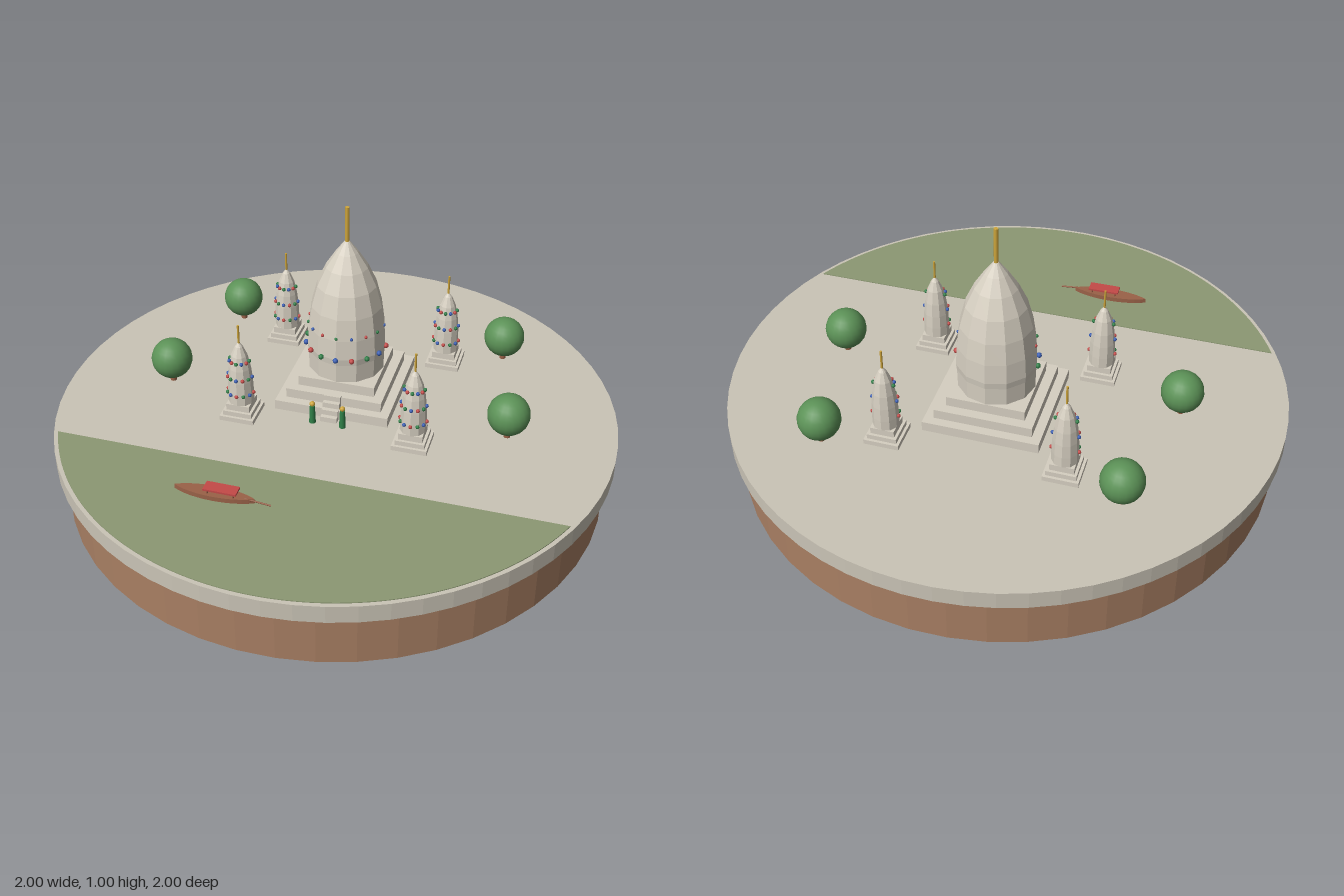
import * as THREE from 'three';

const mat = (name, color, extra = {}) => {
  const m = new THREE.MeshStandardMaterial({ color, ...extra });
  m.name = name;
  return m;
};

export function createModel() {
  const model = new THREE.Group();
  model.name = 'templeIsland';
  const ground = mat('paleGround', 0xcac4b6, { flatShading: true });
  const earth = mat('brownEarth', 0xa87f63, { flatShading: true });
  const stone = mat('templeStone', 0xd6cfc1, { flatShading: true });
  const water = mat('greenWater', 0x8c9873);
  const leaf = mat('treeGreen', 0x5c9257);
  const red = mat('red', 0xc44a48);
  const gold = mat('gold', 0xcfa63c);
  const blue = mat('blue', 0x3a5fb5);
  const green = mat('green', 0x2f8048);
  const wood = mat('boatWood', 0x9a6248);

  const add = (parent, name, geo, material, x = 0, y = 0, z = 0) => {
    const m = new THREE.Mesh(geo, material);
    m.name = name;
    m.position.set(x, y, z);
    parent.add(m);
    return m;
  };
  const group = (parent, name, x = 0, y = 0, z = 0) => {
    const g = new THREE.Group();
    g.name = name;
    g.position.set(x, y, z);
    parent.add(g);
    return g;
  };
  const TOP = 0.265;
  const TURN = -0.349;

  // Round island base
  add(model, 'earthBase', new THREE.CylinderGeometry(0.97, 0.97, 0.2, 48), earth, 0, 0.1, 0);
  add(model, 'groundSlab', new THREE.CylinderGeometry(1, 1, 0.065, 64), ground, 0, 0.2325, 0);

  // River: a thin circle segment
  const R = 0.985;
  const a = Math.asin(0.412 / R);
  const riverShape = new THREE.Shape();
  riverShape.absarc(0, 0, R, -Math.PI + a, -a, false);
  riverShape.closePath();
  const riverGeo = new THREE.ExtrudeGeometry(riverShape, { depth: 0.003, bevelEnabled: false, curveSegments: 48 });
  riverGeo.rotateX(-Math.PI / 2);
  add(model, 'river', riverGeo, water, 0, TOP, 0).rotation.y = TURN;

  // Square plinth steps: list of [side, bottom, top]
  const plinth = (parent, tiers) => tiers.forEach(([side, y0, y1]) =>
    add(parent, 'plinthStep', new THREE.BoxGeometry(side, y1 - y0, side), stone, 0, (y0 + y1) / 2, 0));

  // Faceted tower from a [radius, height] profile
  const tower = (parent, profile, sides) =>
    add(parent, 'tower', new THREE.LatheGeometry(profile.map(p => new THREE.Vector2(...p)), sides), stone);

  // Half ring of coloured beads around the front
  const beadColors = [red, blue, green];
  const beads = (parent, count, ring, y, r, shift = 0) => {
    const geo = new THREE.SphereGeometry(r, 8, 6);
    for (let i = 0; i < count; i++) {
      const t = (Math.PI * i) / (count - 1);
      add(parent, 'bead', geo, beadColors[(i + shift) % 3], ring * Math.cos(t), y, ring * Math.sin(t));
    }
  };

  // Temple precinct, with heights measured from the slab top
  const temple = group(model, 'temple', 0.047, TOP, -0.133);
  temple.rotation.y = TURN;
  plinth(temple, [[0.415, 0, 0.037], [0.35, 0.037, 0.073], [0.28, 0.073, 0.11]]);
  tower(temple, [[0.138, 0.11], [0.14, 0.18], [0.143, 0.205], [0.139, 0.28], [0.128, 0.36],
    [0.107, 0.44], [0.075, 0.51], [0.04, 0.565], [0.01, 0.605], [0, 0.608]], 12);
  add(temple, 'spire', new THREE.CylinderGeometry(0.008, 0.008, 0.14, 8), gold, 0, 0.665, 0);
  beads(temple, 9, 0.146, 0.205, 0.01);
  beads(temple, 9, 0.137, 0.29, 0.006, 1);

  // Front stairs
  for (let i = 0; i < 4; i++) {
    const h = 0.08 - i * 0.02;
    add(temple, 'stair', new THREE.BoxGeometry(0.06, h, 0.016), stone, 0, h / 2, 0.18 + i * 0.016);
  }

  // Two guardians beside the stairs
  for (const s of [-1, 1]) {
    const g = group(temple, 'guardian', s * 0.055, 0, 0.247);
    add(g, 'body', new THREE.CylinderGeometry(0.009, 0.012, 0.07, 10), green, 0, 0.035, 0);
    add(g, 'head', new THREE.SphereGeometry(0.01, 10, 8), gold, 0, 0.078, 0);
  }

  // Four small corner shrines
  for (const sx of [-1, 1]) for (const sz of [-1, 1]) {
    const s = group(temple, 'shrine', sx * 0.313, 0, sz * 0.265);
    plinth(s, [[0.125, 0, 0.018], [0.105, 0.018, 0.036], [0.085, 0.036, 0.06]]);
    tower(s, [[0.046, 0.06], [0.046, 0.1], [0.044, 0.15], [0.039, 0.2], [0.029, 0.25],
      [0.014, 0.285], [0, 0.303]], 10);
    add(s, 'spire', new THREE.CylinderGeometry(0.004, 0.004, 0.07, 6), gold, 0, 0.333, 0);
    [[0.047, 0.1], [0.044, 0.165], [0.036, 0.23]].forEach(([ring, y], i) => beads(s, 7, ring, y, 0.007, i));
  }

  // Round trees
  for (const [x, z] of [[-0.325, -0.64], [0.655, -0.283], [-0.59, -0.22], [0.583, 0.21]]) {
    const t = group(model, 'tree', x, TOP, z);
    add(t, 'trunk', new THREE.CylinderGeometry(0.012, 0.012, 0.06, 8), wood, 0, 0.03, 0);
    add(t, 'crown', new THREE.SphereGeometry(0.075, 20, 14), leaf, 0, 0.095, 0);
  }

  // River boat with a canopy and an oar
  const boat = group(model, 'boat', -0.43, TOP, 0.467);
  boat.rotation.y = TURN;
  const hullShape = new THREE.Shape();
  hullShape.moveTo(-0.14, 0);
  hullShape.bezierCurveTo(-0.07, -0.037, 0.07, -0.037, 0.14, 0);
  hullShape.bezierCurveTo(0.07, 0.037, -0.07, 0.037, -0.14, 0);
  const hullGeo = new THREE.ExtrudeGeometry(hullShape, { depth: 0.018, bevelEnabled: false });
  hullGeo.rotateX(-Math.PI / 2);
  add(boat, 'hull', hullGeo, wood, 0, 0.002, 0);
  add(boat, 'canopy', new THREE.BoxGeometry(0.115, 0.007, 0.044), red, 0.025, 0.037, 0);
  for (const x of [-0.02, 0.07]) for (const z of [-0.014, 0.014])
    add(boat, 'canopyPost', new THREE.CylinderGeometry(0.003, 0.003, 0.02, 6), wood, x, 0.026, z);
  const oar = add(boat, 'oar', new THREE.CylinderGeometry(0.003, 0.003, 0.09, 6), wood, 0.152, 0.014, 0.005);
  oar.rotation.z = Math.PI / 2 - 0.1;

  return model;
}
